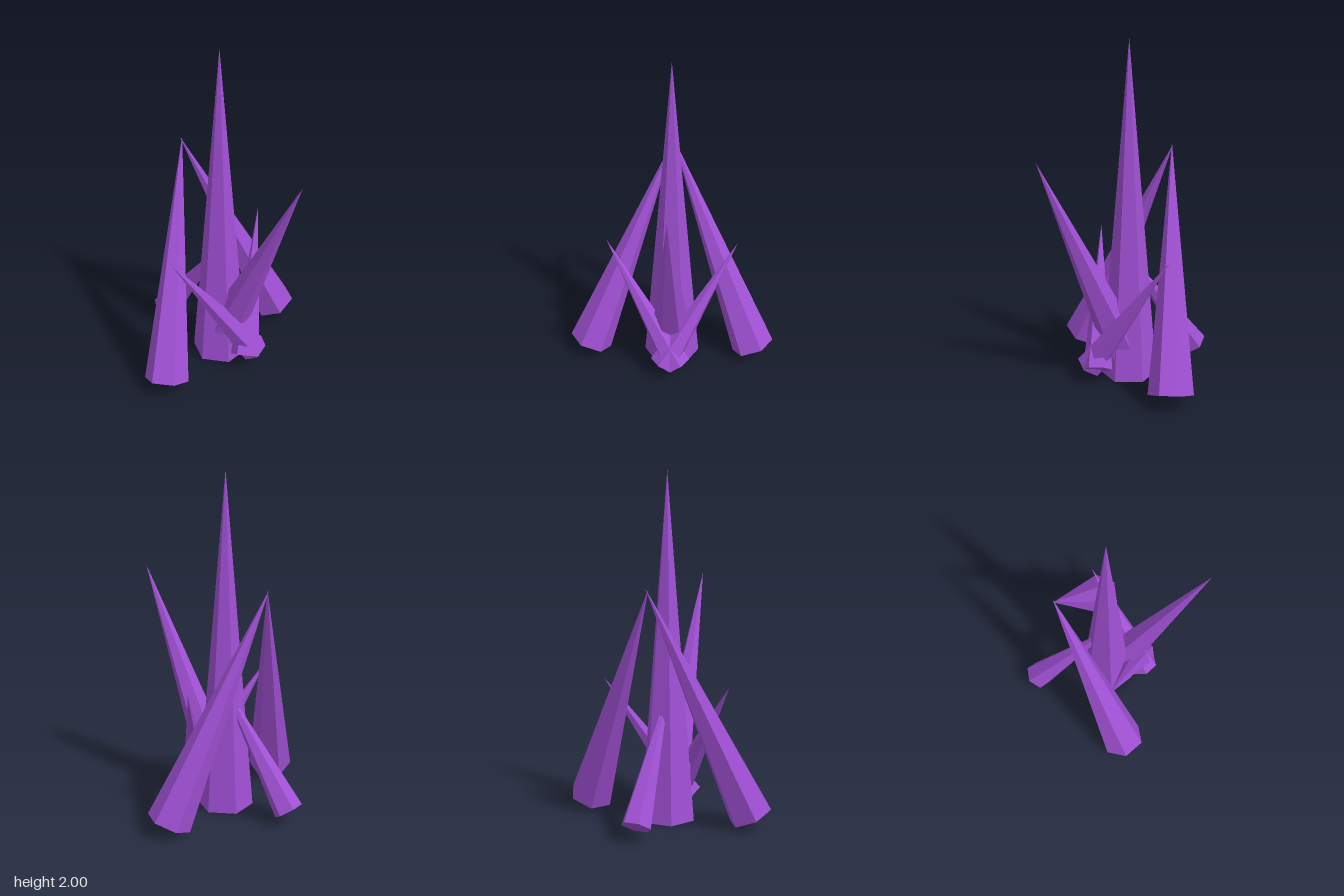
import * as THREE from 'three';

const crystalMaterial = new THREE.MeshStandardMaterial({ color: 0xa050d4, flatShading: true });

// Six-sided spike from the centre of its base to its tip, leaning about z, then x
function spike(name, radius, base, tip) {
  const from = new THREE.Vector3(...base);
  const to = new THREE.Vector3(...tip);
  const axis = to.clone().sub(from);
  const length = axis.length();
  axis.normalize();
  const mesh = new THREE.Mesh(new THREE.ConeGeometry(radius, length, 6), crystalMaterial);
  mesh.name = name;
  mesh.position.copy(from).add(to).multiplyScalar(0.5);
  mesh.rotation.set(Math.atan2(axis.z, axis.y), 0, -Math.asin(axis.x));
  return mesh;
}

export function createModel() {
  const group = new THREE.Group();
  group.name = 'crystalCluster';

  // Upright centre crystal
  group.add(spike('centreCrystal', 0.165, [-0.035, 0, 0], [-0.035, 2, 0]));

  // Crystals leaning along x
  group.add(spike('largeLeftCrystal', 0.13, [-0.04, 0.07, 0], [0.545, 1.375, 0]));
  group.add(spike('smallRightCrystal', 0.087, [-0.488, 0.085, 0], [0.01, 0.8, 0]));

  // Mirrored front and back pairs, whose members cross
  for (const [side, s] of [['Front', 1], ['Back', -1]]) {
    group.add(spike('large' + side + 'Crystal', 0.13, [-0.014, 0.07, 0.5 * s], [-0.327, 1.375, -0.01 * s]));
    group.add(spike('small' + side + 'Crystal', 0.087, [0.2, 0.085, -0.04 * s], [-0.067, 0.81, 0.385 * s]));
  }
  return group;
}
